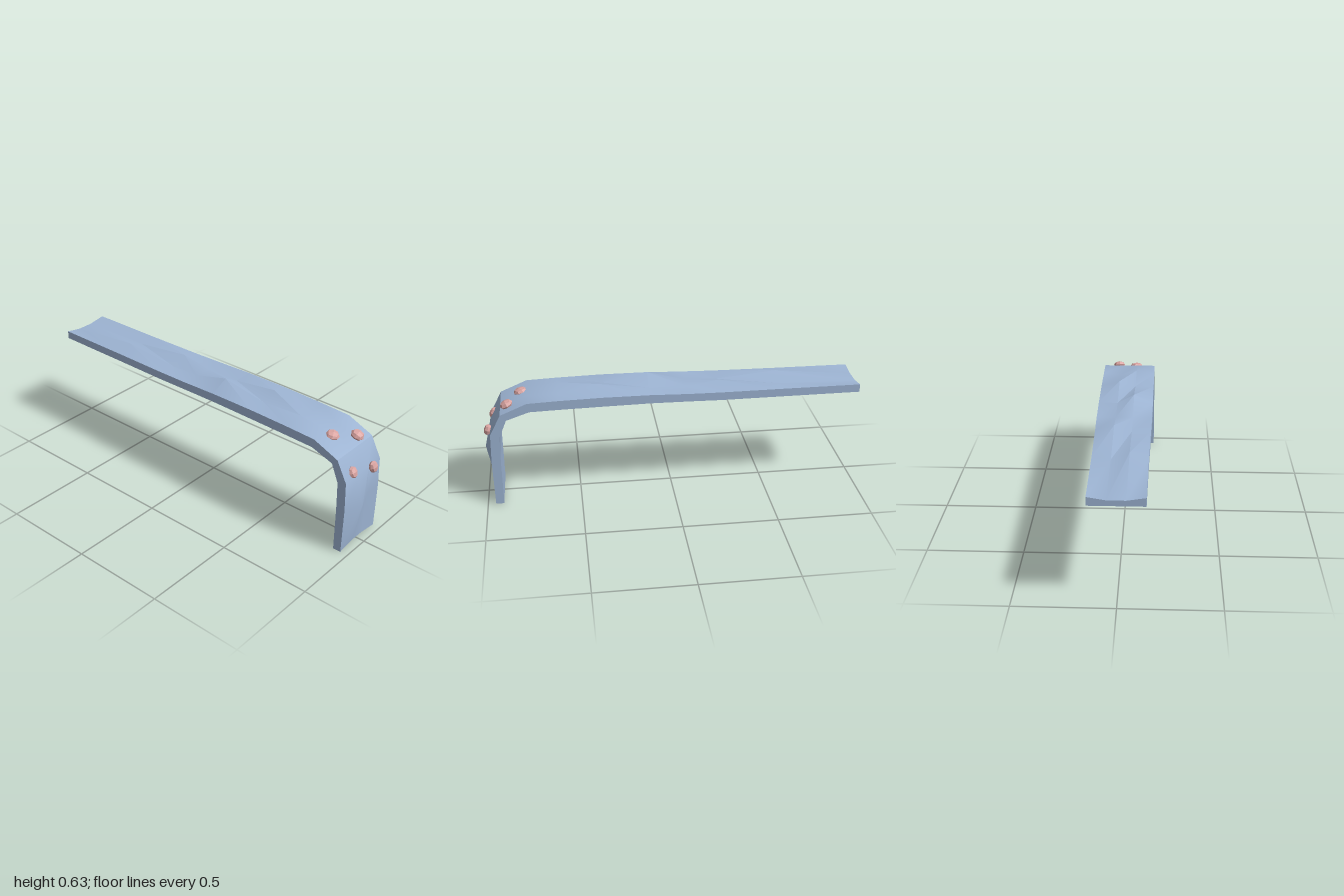
import * as THREE from 'three';
import { toCreasedNormals } from 'three/addons/utils/BufferGeometryUtils.js';

// Stations along the band: outer x, y, inner x, y, half width, bump at +z, bump at -z
const STATIONS = [
  [-1, 0.578, -1, 0.535, 0.135, -0.015, -0.015],
  [-0.58, 0.579, -0.58, 0.535, 0.138, 0.027, -0.01],
  [-0.25, 0.58, -0.25, 0.536, 0.143, -0.005, 0.03],
  [-0.08, 0.583, -0.08, 0.54, 0.146, 0, 0],
  [0.12, 0.589, 0.12, 0.542, 0.147, 0.046, -0.004],
  [0.37, 0.59, 0.37, 0.539, 0.148, 0, 0.03],
  [0.6, 0.585, 0.6, 0.535, 0.148, 0.019, -0.008],
  [0.76, 0.579, 0.75, 0.531, 0.148, 0.001, -0.001],
  [0.9, 0.52, 0.87, 0.49, 0.148, 0, 0],
  [0.957, 0.41, 0.91, 0.395, 0.148, 0.005, 0.003],
  [0.962, 0.25, 0.914, 0.25, 0.148, 0.037, 0.002],
  [0.958, 0, 0.915, 0, 0.148, -0.005, -0.005],
];

// Closed eight-point cross-section: four outer points, then four inner ones
function section([ox, oy, ix, iy, w, a, b], i) {
  const out = new THREE.Vector2(ox - ix, oy - iy).normalize();
  const lift = i === STATIONS.length - 1 ? 0.007 : 0;
  const outer = [[w, 0], [0.045, a], [-0.045, b], [-w, 0]].map(([z, d], k) =>
    [ox + out.x * d, oy + out.y * d + (k % 3 ? lift : 0), z]);
  const inner = [-w, -0.045, 0.045, w].map((z, k) => [ix, iy + (k % 3 ? lift : 0), z]);
  return [...outer, ...inner];
}

function bandGeometry() {
  const rings = STATIONS.map(section);
  const index = [];
  for (let i = 0; i < rings.length - 1; i++) {
    for (let k = 0; k < 8; k++) {
      const a = i * 8 + k, b = i * 8 + (k + 1) % 8;
      index.push(a, a + 8, b, b, a + 8, b + 8);
    }
  }
  // End caps
  const last = (rings.length - 1) * 8;
  for (let k = 0; k < 3; k++) {
    const q = [k, k + 1, 6 - k, 7 - k];
    index.push(q[0], q[1], q[2], q[0], q[2], q[3]);
    index.push(last + q[0], last + q[2], last + q[1], last + q[0], last + q[3], last + q[2]);
  }
  const geo = new THREE.BufferGeometry();
  geo.setAttribute('position', new THREE.Float32BufferAttribute(rings.flat(2), 3));
  geo.setIndex(index);
  return toCreasedNormals(geo, 0.58);
}

// Faceted pebble: a subdivided cube pushed toward a sphere
function pebbleGeometry() {
  const geo = new THREE.BoxGeometry(2, 2, 2, 2, 2, 2);
  const p = geo.attributes.position;
  const v = new THREE.Vector3();
  for (let i = 0; i < p.count; i++) {
    v.fromBufferAttribute(p, i).normalize();
    p.setXYZ(i, v.x, v.y, v.z);
  }
  geo.computeVertexNormals();
  return geo;
}

export function createModel() {
  const group = new THREE.Group();
  const blue = new THREE.MeshStandardMaterial({ color: 0x9db4d3 });
  const pink = new THREE.MeshStandardMaterial({ color: 0xd9a3a0, flatShading: true });

  const band = new THREE.Mesh(bandGeometry(), blue);
  band.name = 'bentBand';
  group.add(band);

  // Pebbles on the bend: position, radii, turn about x, y and z
  const pebble = pebbleGeometry();
  [
    [[0.793, 0.567, 0.04], [0.036, 0.019, 0.036], [0.15, 0.5, -0.3]],
    [[0.866, 0.546, -0.068], [0.036, 0.022, 0.034], [0, 0.15, -0.42]],
    [[0.946, 0.435, 0.075], [0.018, 0.032, 0.028], [0, 0, 0.45]],
    [[0.972, 0.406, -0.068], [0.02, 0.032, 0.028], [0.08, 0, 0.25]],
  ].forEach(([pos, size, turn], i) => {
    const mesh = new THREE.Mesh(pebble, pink);
    mesh.name = `pebble${i + 1}`;
    mesh.position.set(...pos);
    mesh.scale.set(...size);
    mesh.rotation.set(...turn);
    group.add(mesh);
  });
  return group;
}
